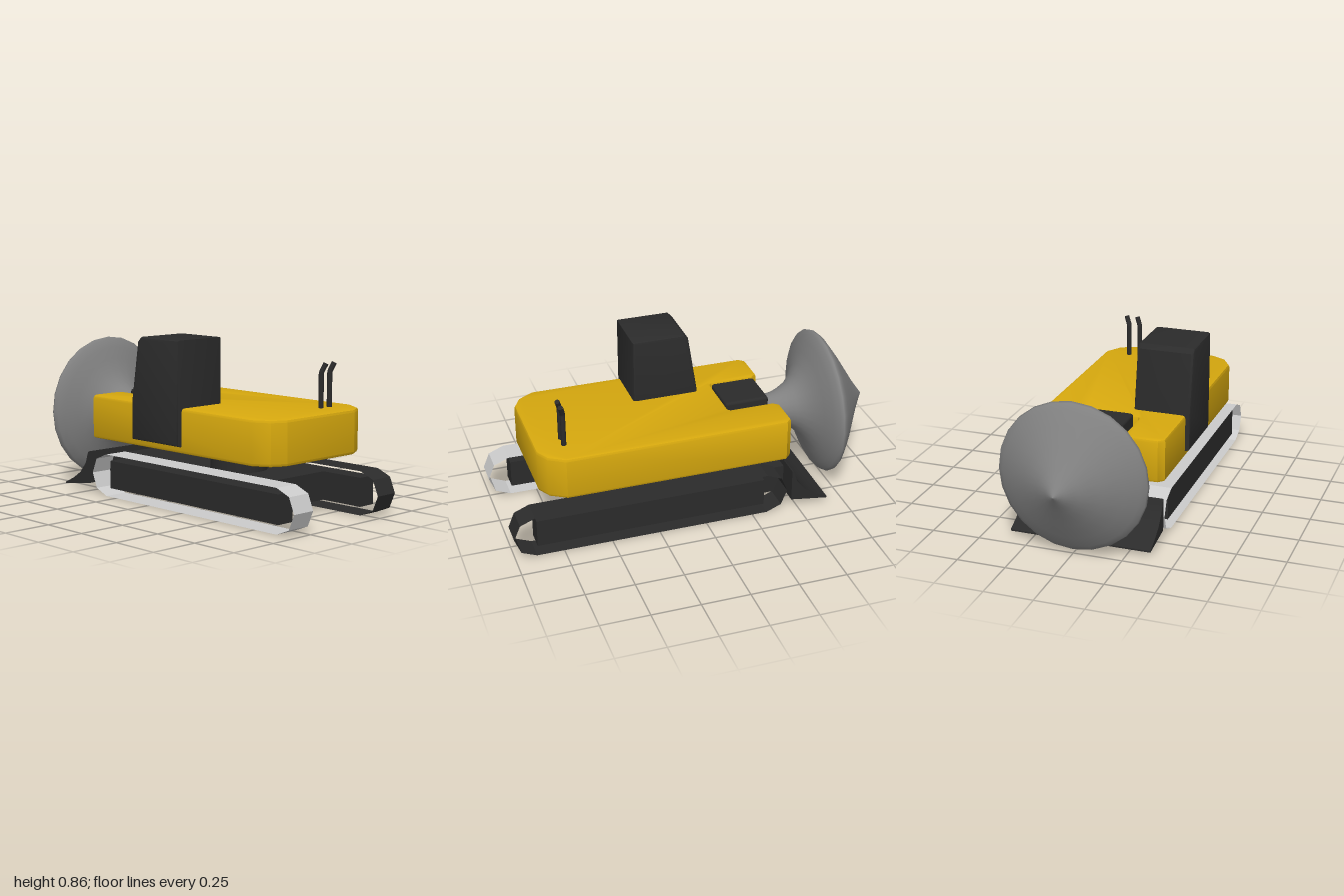
import * as THREE from 'three';
import { toCreasedNormals } from 'three/addons/utils/BufferGeometryUtils.js';
import { RoundedBoxGeometry } from 'three/addons/geometries/RoundedBoxGeometry.js';

const yellow = new THREE.MeshStandardMaterial({ color: 0xd6a80e });
const dark = new THREE.MeshStandardMaterial({ color: 0x2b2b2b });
const steel = new THREE.MeshStandardMaterial({ color: 0x808080, side: THREE.DoubleSide });
const beltGrey = new THREE.MeshStandardMaterial({ color: 0xcccccc, side: THREE.DoubleSide, flatShading: true });
const beltDark = new THREE.MeshStandardMaterial({ color: 0x2b2b2b, side: THREE.DoubleSide, flatShading: true });

// Extrudes an outline to a total depth centred on zero, bevel included
function extrude(points, depth, bevel) {
  const shape = new THREE.Shape(points.map(([x, y]) => new THREE.Vector2(x, y)));
  const length = depth - 2 * bevel;
  const geometry = new THREE.ExtrudeGeometry(shape, {
    depth: length, bevelEnabled: bevel > 0, bevelSize: bevel, bevelThickness: bevel, bevelSegments: 2,
  });
  geometry.translate(0, 0, -length / 2);
  return toCreasedNormals(geometry, 0.6);
}

// Side profile given as [z, y], extruded across x
const extrudeAcross = (points, width, bevel) => extrude(points, width, bevel).rotateY(-Math.PI / 2);

// Open belt: a loop with half-octagon ends
function beltGeometry(width, radius, zBack, zFront) {
  const loop = [];
  for (const [z, start] of [[zFront, Math.PI / 2], [zBack, -Math.PI / 2]]) {
    for (let i = 0; i <= 4; i++) {
      const a = start - (i * Math.PI) / 4;
      loop.push([z + radius * Math.cos(a), radius + radius * Math.sin(a)]);
    }
  }
  loop.push(loop[0]);
  const geometry = new THREE.PlaneGeometry(width, 1, 1, loop.length - 1);
  const p = geometry.attributes.position;
  for (let i = 0; i < p.count; i++) {
    const [z, y] = loop[Math.floor(i / 2)];
    p.setXYZ(i, p.getX(i), y, z);
  }
  geometry.computeVertexNormals();
  return geometry;
}

export function createModel() {
  const model = new THREE.Group();
  model.name = 'excavator';
  const add = (name, geometry, material, x = 0, y = 0, z = 0) => {
    const mesh = new THREE.Mesh(geometry, material);
    mesh.name = name;
    mesh.position.set(x, y, z);
    model.add(mesh);
    return mesh;
  };

  // Tracks: thin belt around a solid frame
  for (const [side, sign, material] of [['left', 1, beltDark], ['right', -1, beltGrey]]) {
    add(side + 'TrackBelt', beltGeometry(0.13, 0.11, -0.33, 0.89), material, sign * 0.298);
    add(side + 'TrackFrame', new THREE.BoxGeometry(0.1, 0.145, 1.2), dark, sign * 0.292, 0.1125, 0.28);
  }

  // Undercarriage and slewing ring
  add('chassis', new THREE.BoxGeometry(0.49, 0.145, 1.11), dark, 0, 0.1125, 0.085);
  add('turntable', new THREE.CylinderGeometry(0.145, 0.145, 0.13, 32), dark, 0, 0.245, 0.285);

  // Dozer blade with a curved face
  const blade = [
    [-0.465, 0.22], [-0.465, 0.05], [-0.55, 0.038], [-0.665, 0.022], [-0.665, 0.03],
    [-0.6, 0.06], [-0.54, 0.1], [-0.495, 0.155], [-0.475, 0.215],
  ];
  add('blade', extrudeAcross(blade, 0.73, 0), dark);

  // Upper body: mirrored outline [x, z] with a rear notch
  const half = [
    [0.235, 0.825], [0.3, 0.79], [0.345, 0.715], [0.345, -0.425], [0.325, -0.445],
    [0.18, -0.445], [0.163, -0.425], [0.163, -0.195], [0.143, -0.175],
  ];
  const outline = [...half, ...half.map(([x, z]) => [-x, z]).reverse()].map(([x, z]) => [x, -z]);
  add('body', extrude(outline, 0.225, 0.015).rotateX(-Math.PI / 2), yellow, 0, 0.4075, 0);

  // Cab with a sloping rear
  const cab = [[0.23, 0.345], [0.23, 0.84], [-0.025, 0.84], [-0.04, 0.825], [-0.088, 0.52], [-0.09, 0.345]];
  add('cab', extrudeAcross(cab, 0.3, 0.015), dark, -0.235);

  // Exhaust pipes with bent tips
  for (const x of [0.155, 0.217]) {
    const path = new THREE.CurvePath();
    const points = [[0, 0.5, 0.695], [0, 0.695, 0.695], [0.019, 0.74, 0.708]].map((p) => new THREE.Vector3(...p));
    path.add(new THREE.LineCurve3(points[0], points[1]));
    path.add(new THREE.LineCurve3(points[1], points[2]));
    add('exhaustPipe', new THREE.TubeGeometry(path, 16, 0.013, 10), dark, x);
    const cap = add('exhaustTip', new THREE.CircleGeometry(0.013, 10), dark, x + 0.019, 0.74, 0.708);
    cap.quaternion.setFromUnitVectors(new THREE.Vector3(0, 0, 1), points[2].clone().sub(points[1]).normalize());
  }

  // Rear mount and flared cone tool
  add('toolMount', new RoundedBoxGeometry(0.23, 0.26, 0.235, 2, 0.015), dark, 0, 0.405, -0.305);
  const profile = [
    [0, 1], [0.05, 0.965], [0.11, 0.925], [0.2, 0.87], [0.29, 0.815], [0.35, 0.775], [0.378, 0.752],
    [0.383, 0.738], [0.37, 0.722], [0.33, 0.7], [0.27, 0.677], [0.21, 0.652], [0.16, 0.62],
    [0.125, 0.585], [0.1, 0.54], [0.085, 0.5], [0.076, 0.45], [0.073, 0.4],
  ].reverse().map(([r, d]) => new THREE.Vector2(r, d));
  add('coneTool', new THREE.LatheGeometry(profile, 24).rotateX(-Math.PI / 2), steel, 0, 0.4, 0);

  return model;
}
